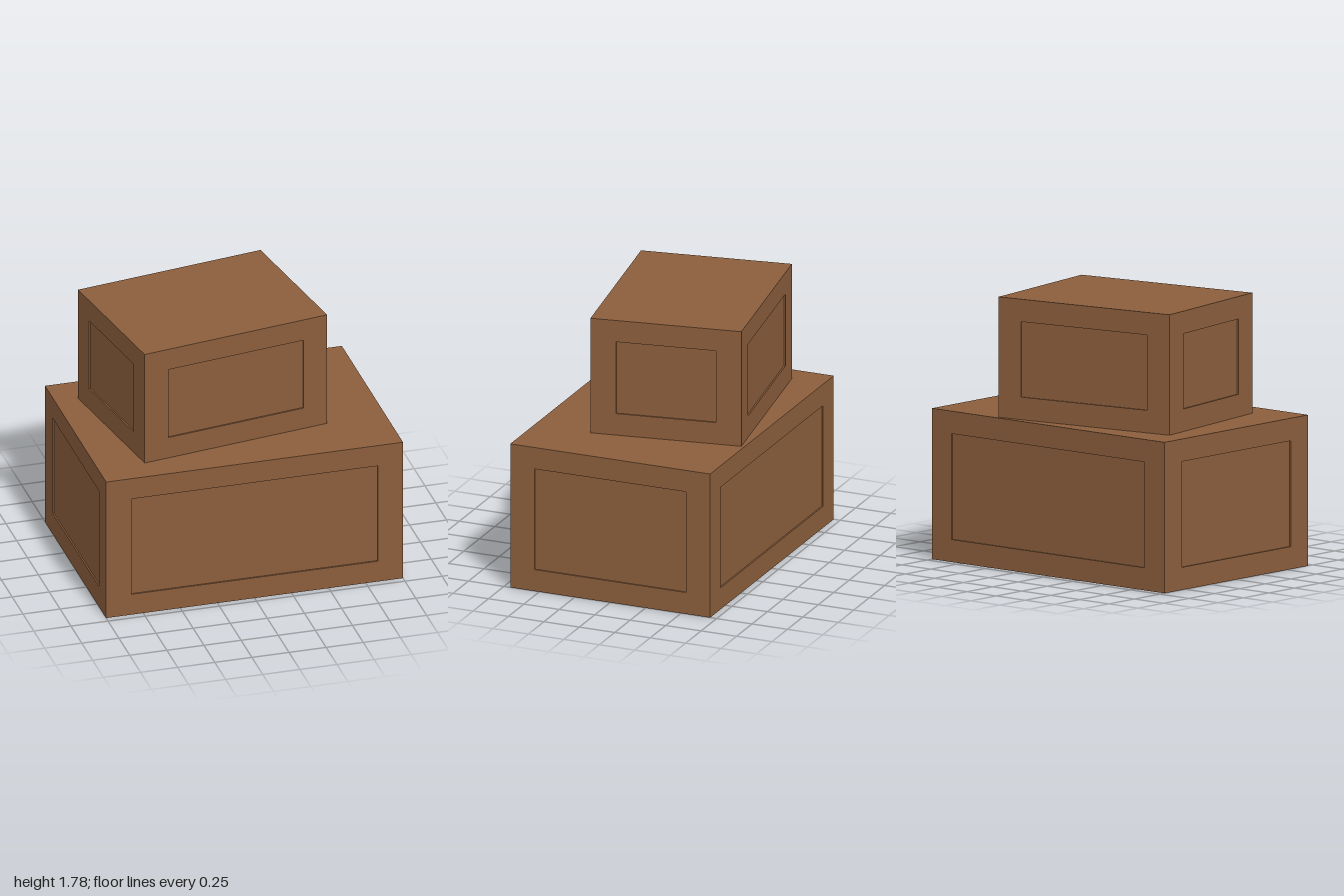
import * as THREE from 'three';

const T = 0.01;       // wall thickness and panel recess
const SIDE = 0.17;    // frame width beside the panels, also the foot size
const RISE = 0.148;   // frame height above and below the panels, also the foot height

const wood = new THREE.MeshStandardMaterial({ color: 0x8b5e3c, side: THREE.DoubleSide });
wood.name = 'brown wood';

function addMesh(parent, name, geometry, x = 0, y = 0, z = 0) {
  const mesh = new THREE.Mesh(geometry, wood);
  mesh.name = name;
  mesh.position.set(x, y, z);
  parent.add(mesh);
  return mesh;
}

// Framed wall facing +z, its outer face on z = 0, with a recessed panel
function makeWall(name, width, height, margin) {
  const wall = new THREE.Group();
  wall.name = name;
  const a = width / 2, b = a - margin;
  const top = height + T - RISE;
  const frame = new THREE.Shape();
  frame.moveTo(-a, 0).lineTo(a, 0).lineTo(a, height).lineTo(-a, height).closePath();
  const hole = new THREE.Path();
  hole.moveTo(-b, RISE).lineTo(-b, top).lineTo(b, top).lineTo(b, RISE).closePath();
  frame.holes.push(hole);
  addMesh(wall, 'frame', new THREE.ExtrudeGeometry(frame, { depth: T, bevelEnabled: false }), 0, 0, -T);
  addMesh(wall, 'panel', new THREE.PlaneGeometry(2 * b, top - RISE), 0, (top + RISE) / 2, -T);
  return wall;
}

function makeCrate(name, w, h, d) {
  const crate = new THREE.Group();
  crate.name = name;

  // Four walls under a full lid
  const sides = [
    ['frontWall', w, d, SIDE], ['leftWall', d - 2 * T, w, SIDE - T],
    ['backWall', w, d, SIDE], ['rightWall', d - 2 * T, w, SIDE - T],
  ];
  sides.forEach(([wallName, width, across, margin], i) => {
    const wall = makeWall(wallName, width, h - T, margin);
    const angle = i * Math.PI / 2;
    wall.rotation.y = angle;
    wall.position.set(Math.sin(angle) * across / 2, 0, Math.cos(angle) * across / 2);
    crate.add(wall);
  });
  addMesh(crate, 'lid', new THREE.BoxGeometry(w, T, d), 0, h - T / 2, 0);

  // Raised floor
  addMesh(crate, 'floor', new THREE.BoxGeometry(w - 2 * T, T, d - 2 * T), 0, RISE + T / 2, 0);

  // Hollow corner feet, closed on the outside by the walls
  for (const sx of [-1, 1]) for (const sz of [-1, 1]) {
    const foot = new THREE.Group();
    foot.name = 'foot';
    foot.position.set(sx * (w / 2 - SIDE), 0, sz * (d / 2 - SIDE));
    const len = SIDE - T;
    addMesh(foot, 'footPlateAcross', new THREE.PlaneGeometry(len, RISE), sx * len / 2, RISE / 2, 0)
      .rotation.y = sz > 0 ? Math.PI : 0;
    addMesh(foot, 'footPlateAlong', new THREE.PlaneGeometry(len, RISE), 0, RISE / 2, sz * len / 2)
      .rotation.y = -sx * Math.PI / 2;
    crate.add(foot);
  }
  return crate;
}

export function createModel() {
  const model = new THREE.Group();
  model.name = 'stackedCrates';

  model.add(makeCrate('lowerCrate', 2, 0.99, 1.41));

  const upper = makeCrate('upperCrate', 1.306, 0.79, 1.008);
  upper.position.set(-0.12, 0.99, -0.083);
  upper.rotation.y = 0.158;
  model.add(upper);

  return model;
}
